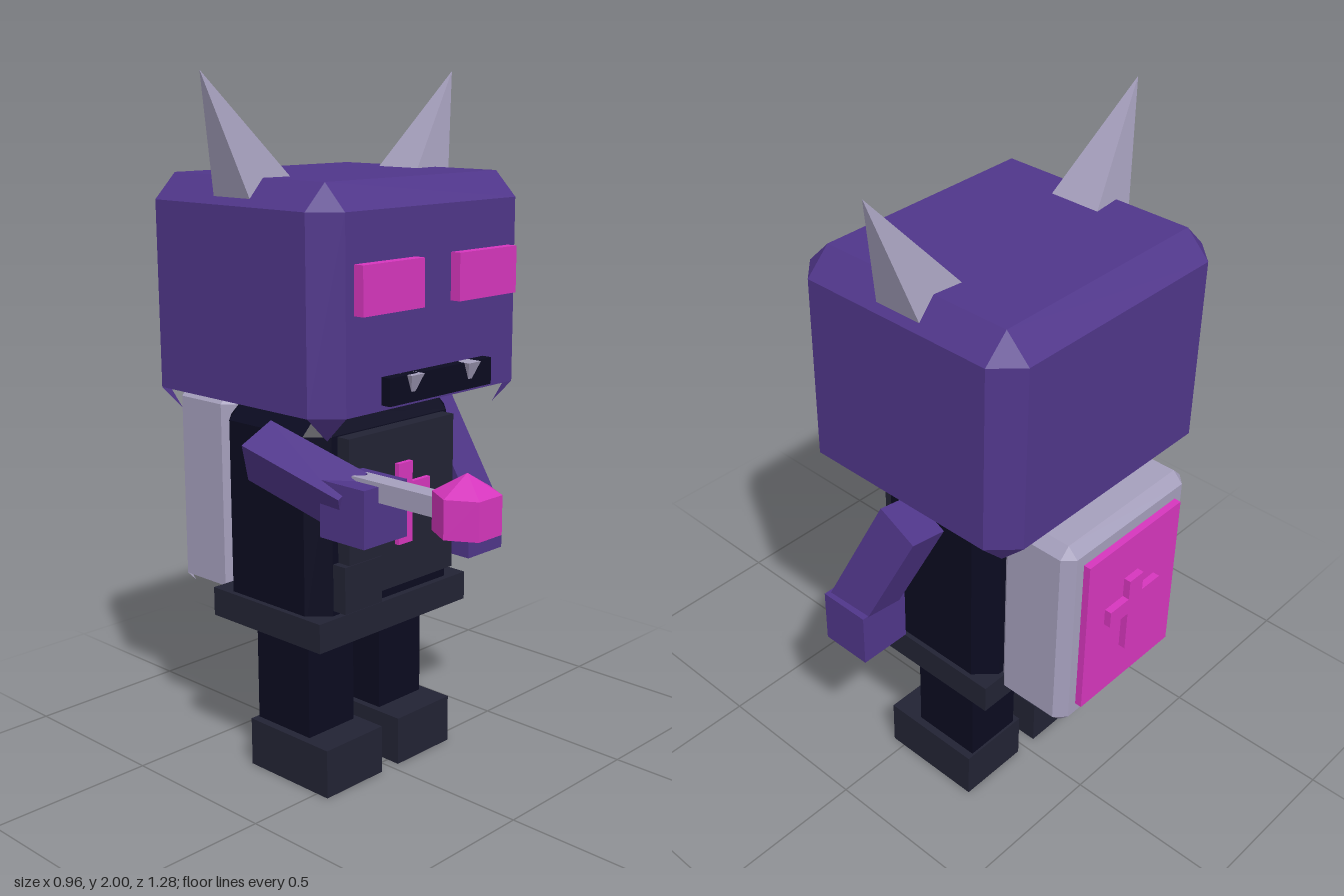
import * as THREE from 'three';

const mat = (name, color, open = false) => {
  const m = new THREE.MeshStandardMaterial({ color });
  m.name = name;
  if (open) m.side = THREE.DoubleSide;
  return m;
};

// Facet a round geometry so every side is flat
function facet(geo) {
  const g = geo.toNonIndexed();
  g.computeVertexNormals();
  return g;
}

// Box with chamfered edges, open underneath, with a small triangle hanging at each lower corner
function chamferShell([x0, x1], [y0, y1], [z0, z1], c) {
  const center = new THREE.Vector3((x0 + x1) / 2, (y0 + y1) / 2, (z0 + z1) / 2);
  const out = [];
  const tri = (a, b, d) => {
    const n = b.clone().sub(a).cross(d.clone().sub(a));
    const outward = n.dot(a.clone().sub(center)) > 0;
    for (const p of outward ? [a, b, d] : [a, d, b]) out.push(p.x, p.y, p.z);
  };
  const quad = (a, b, d, e) => { tri(a, b, d); tri(a, d, e); };
  const V = (x, y, z) => new THREE.Vector3(x, y, z);
  // Corners in loop order: s = on the side face, f = on the front/back face, t = inset
  const corners = [[1, 1], [-1, 1], [-1, -1], [1, -1]].map(([sx, sz]) => {
    const x = sx > 0 ? x1 : x0, z = sz > 0 ? z1 : z0;
    const xi = x - sx * c, zi = z - sz * c, lo = y0 + c, hi = y1 - c;
    return {
      sLo: V(x, lo, zi), sHi: V(x, hi, zi), fLo: V(xi, lo, z), fHi: V(xi, hi, z),
      top: V(xi, y1, zi), tip: V(xi, y0, zi),
    };
  });
  corners.forEach((p, i) => {
    const q = corners[(i + 1) % 4];
    const k = i % 2 ? 's' : 'f';
    quad(p[k + 'Lo'], q[k + 'Lo'], q[k + 'Hi'], p[k + 'Hi']);
    quad(p[k + 'Hi'], q[k + 'Hi'], q.top, p.top);
    quad(p.sLo, p.fLo, p.fHi, p.sHi);
    tri(p.sHi, p.fHi, p.top);
    tri(p.sLo, p.fLo, p.tip);
  });
  quad(...corners.map((p) => p.top));
  const g = new THREE.BufferGeometry();
  g.setAttribute('position', new THREE.Float32BufferAttribute(out, 3));
  g.computeVertexNormals();
  return g;
}

export function createModel() {
  const model = new THREE.Group();
  model.name = 'hornedFigure';
  const purple = mat('purple', 0x50368a, true);
  const pink = mat('pink', 0xd636bd);
  const black = mat('black', 0x0b0b20, true);
  const slate = mat('slate', 0x222334);
  const grey = mat('grey', 0xa59fbc, true);

  const add = (name, geo, material, parent = model) => {
    const m = new THREE.Mesh(geo, material);
    m.name = name;
    parent.add(m);
    return m;
  };
  // Box given by its extents
  const box = (name, [x0, x1], [y0, y1], [z0, z1], material, parent) => {
    const m = add(name, new THREE.BoxGeometry(x1 - x0, y1 - y0, z1 - z0), material, parent);
    m.position.set((x0 + x1) / 2, (y0 + y1) / 2, (z0 + z1) / 2);
    return m;
  };
  // Square bar between two points
  const limb = (name, from, to, w, h, roll, material) => {
    const a = new THREE.Vector3(...from), b = new THREE.Vector3(...to);
    const m = add(name, new THREE.BoxGeometry(w, h, a.distanceTo(b)), material);
    m.position.copy(a).lerp(b, 0.5);
    m.lookAt(b);
    m.rotateZ(roll);
    return m;
  };
  // Four-sided spike with its base square to the axes
  const spike = (width, height) => {
    const g = new THREE.ConeGeometry(width / Math.SQRT2, height, 4);
    return facet(g.rotateY(Math.PI / 4));
  };

  // Head
  add('head', chamferShell([-0.41, 0.4], [1.07, 1.73], [-0.525, 0.2], 0.07), purple);
  box('rightEye', [-0.31, -0.08], [1.4, 1.53], [0.19, 0.232], pink);
  box('leftEye', [0.06, 0.3], [1.4, 1.53], [0.19, 0.232], pink);
  box('mouth', [-0.21, 0.2], [1.155, 1.23], [0.19, 0.23], black);

  for (const s of [-1, 1]) {
    const side = s < 0 ? 'right' : 'left';
    // Horns lean outwards
    const horn = add(side + 'Horn', spike(0.152, 0.352), grey);
    horn.position.set(s * 0.397 - 0.004, 1.845, -0.163);
    horn.rotation.z = -s * 0.5;
    // Fangs point down
    const fang = add(side + 'Fang', spike(0.05, 0.07), grey);
    fang.position.set(s * 0.115 - 0.005, 1.195, 0.222);
    fang.rotation.x = Math.PI;
    // Legs and boots
    const x = s * 0.145 - 0.005;
    box(side + 'Leg', [x - 0.09, x + 0.09], [0.14, 0.435], [-0.268, -0.055], black);
    const fx = s * 0.147 - 0.006;
    box(side + 'Boot', [fx - 0.112, fx + 0.112], [0, 0.145], [-0.275, 0.042], slate);
  }

  // Torso, belt and chest plate
  add('torso', chamferShell([-0.292, 0.284], [0.44, 1.103], [-0.365, 0.042], 0.055), black);
  box('belt', [-0.308, 0.298], [0.455, 0.54], [-0.378, 0.062], slate);
  box('chestPlate', [-0.215, 0.212], [0.585, 1.045], [0.03, 0.085], slate);
  box('chestPocket', [-0.235, -0.09], [0.555, 0.69], [0.03, 0.088], slate);

  // Plain cross ornament on chest and pack
  const cross = (name, cx, cy, z) => {
    const g = new THREE.Group();
    g.name = name;
    box('upright', [cx - 0.028, cx + 0.028], [cy - 0.15, cy + 0.085], z, pink, g);
    box('crossbar', [cx - 0.102, cx + 0.102], [cy - 0.025, cy + 0.025], z, pink, g);
    model.add(g);
  };
  cross('chestOrnament', -0.005, 0.86, [0.08, 0.1]);

  // Back pack
  add('backPack', chamferShell([-0.25, 0.24], [0.495, 1.103], [-0.598, -0.365], 0.03), grey);
  box('packPanel', [-0.192, 0.182], [0.555, 1.04], [-0.618, -0.59], pink);
  cross('packOrnament', 0.005, 0.83, [-0.638, -0.61]);

  // Left arm hangs down
  limb('leftArm', [0.343, 1.035, -0.155], [0.408, 0.69, -0.005], 0.118, 0.134, 0.42, purple);
  box('leftHand', [0.32, 0.477], [0.575, 0.735], [-0.093, 0.06], purple);

  // Right arm reaches forward and holds the wand
  limb('rightArm', [-0.35, 1.005, -0.12], [-0.31, 0.91, 0.2], 0.116, 0.134, 0.48, purple);
  box('rightHand', [-0.375, -0.215], [0.822, 0.977], [0.137, 0.295], purple);
  box('wandStick', [-0.322, -0.267], [0.935, 0.988], [0.2, 0.478], grey);
  const gem = new THREE.Group();
  gem.name = 'wandGem';
  gem.position.set(-0.296, 0, 0.564);
  gem.rotation.y = Math.PI / 6;
  add('gemBody', facet(new THREE.CylinderGeometry(0.086, 0.086, 0.1, 6)), pink, gem).position.y = 0.96;
  add('gemPoint', facet(new THREE.ConeGeometry(0.086, 0.05, 6, 1, true)), pink, gem).position.y = 1.035;
  model.add(gem);

  return model;
}
